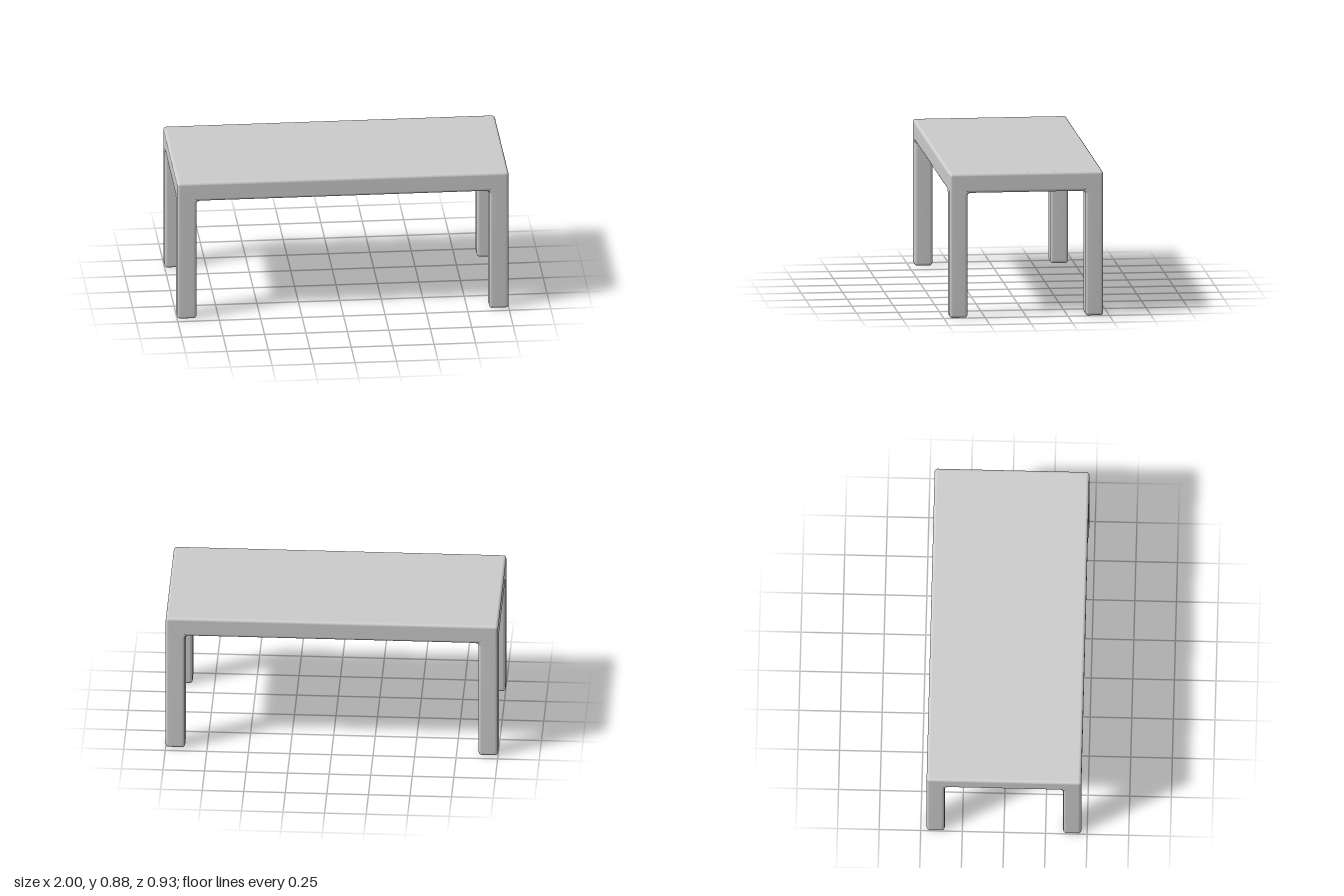
import * as THREE from 'three';
import { RoundedBoxGeometry } from 'three/addons/geometries/RoundedBoxGeometry.js';

const HALF_X = 1, HALF_Z = 0.465;      // table footprint
const UNDER = 0.76, TOP = 0.88;        // underside and top of the slab
const LEG_X = 0.117, LEG_Z = 0.109;    // leg section
const R = 0.018, STEPS = 4;            // edge rounding

// Leg lofted through rounded rectangles; its inner sides flare into the slab.
function legGeometry(sx, sz) {
  const rings = []; // { y, inset, flare }
  for (let i = 0; i <= STEPS; i++) {
    const a = (i / STEPS) * Math.PI / 2;
    rings.push({ y: R * (1 - Math.sin(a)), inset: R * (1 - Math.cos(a)), flare: 0 });
  }
  rings.reverse(); // rounded foot, from the floor up
  rings.forEach((ring, i) => {
    const a = (i / STEPS) * Math.PI / 2;
    ring.y = R * (1 - Math.cos(a));
    ring.inset = R * (1 - Math.sin(a));
  });
  for (let i = 0; i <= STEPS; i++) { // fillet under the slab
    const a = (i / STEPS) * Math.PI / 2;
    rings.push({ y: UNDER - R + R * Math.sin(a), inset: 0, flare: R * (1 - Math.cos(a)) });
  }
  // crease, then a hidden end inside the slab
  rings.push({ y: UNDER, inset: 0, flare: R }, { y: UNDER + R, inset: 0, flare: 0 });

  const positions = [], index = [], n = 4 * (STEPS + 1);
  for (const { y, inset, flare } of rings) {
    const inX = HALF_X - LEG_X - flare, inZ = HALF_Z - LEG_Z - flare;
    const cx = sx * (HALF_X + inX) / 2, cz = sz * (HALF_Z + inZ) / 2;
    const hx = (HALF_X - inX) / 2 - R, hz = (HALF_Z - inZ) / 2 - R;
    for (let corner = 0; corner < 4; corner++) {
      const kx = corner === 0 || corner === 3 ? 1 : -1, kz = corner < 2 ? 1 : -1;
      for (let s = 0; s <= STEPS; s++) {
        const a = (corner + s / STEPS) * Math.PI / 2;
        positions.push(
          cx + kx * hx + (R - inset) * Math.cos(a), y,
          cz + kz * hz + (R - inset) * Math.sin(a));
      }
    }
  }
  for (let i = 0; i < rings.length - 1; i++) {
    for (let j = 0; j < n; j++) {
      const a = i * n + j, b = i * n + (j + 1) % n;
      index.push(a, a + n, b, b, a + n, b + n);
    }
  }
  // foot cap
  const centre = positions.length / 3;
  positions.push(sx * (HALF_X - LEG_X / 2), 0, sz * (HALF_Z - LEG_Z / 2));
  for (let j = 0; j < n; j++) index.push(centre, j, (j + 1) % n);

  const geometry = new THREE.BufferGeometry();
  geometry.setAttribute('position', new THREE.Float32BufferAttribute(positions, 3));
  geometry.setIndex(index);
  geometry.computeVertexNormals();
  return geometry;
}

export function createModel() {
  const group = new THREE.Group();
  group.name = 'table';
  const material = new THREE.MeshStandardMaterial({ color: 0xcccccc });

  // table top
  const top = new THREE.Mesh(
    new RoundedBoxGeometry(2 * HALF_X, TOP - UNDER, 2 * HALF_Z, STEPS, R), material);
  top.name = 'tableTop';
  top.position.y = (TOP + UNDER) / 2;
  group.add(top);

  // four corner legs
  for (const sx of [-1, 1]) {
    for (const sz of [-1, 1]) {
      const leg = new THREE.Mesh(legGeometry(sx, sz), material);
      leg.name = (sz > 0 ? 'front' : 'back') + (sx > 0 ? 'Left' : 'Right') + 'Leg';
      group.add(leg);
    }
  }
  return group;
}
